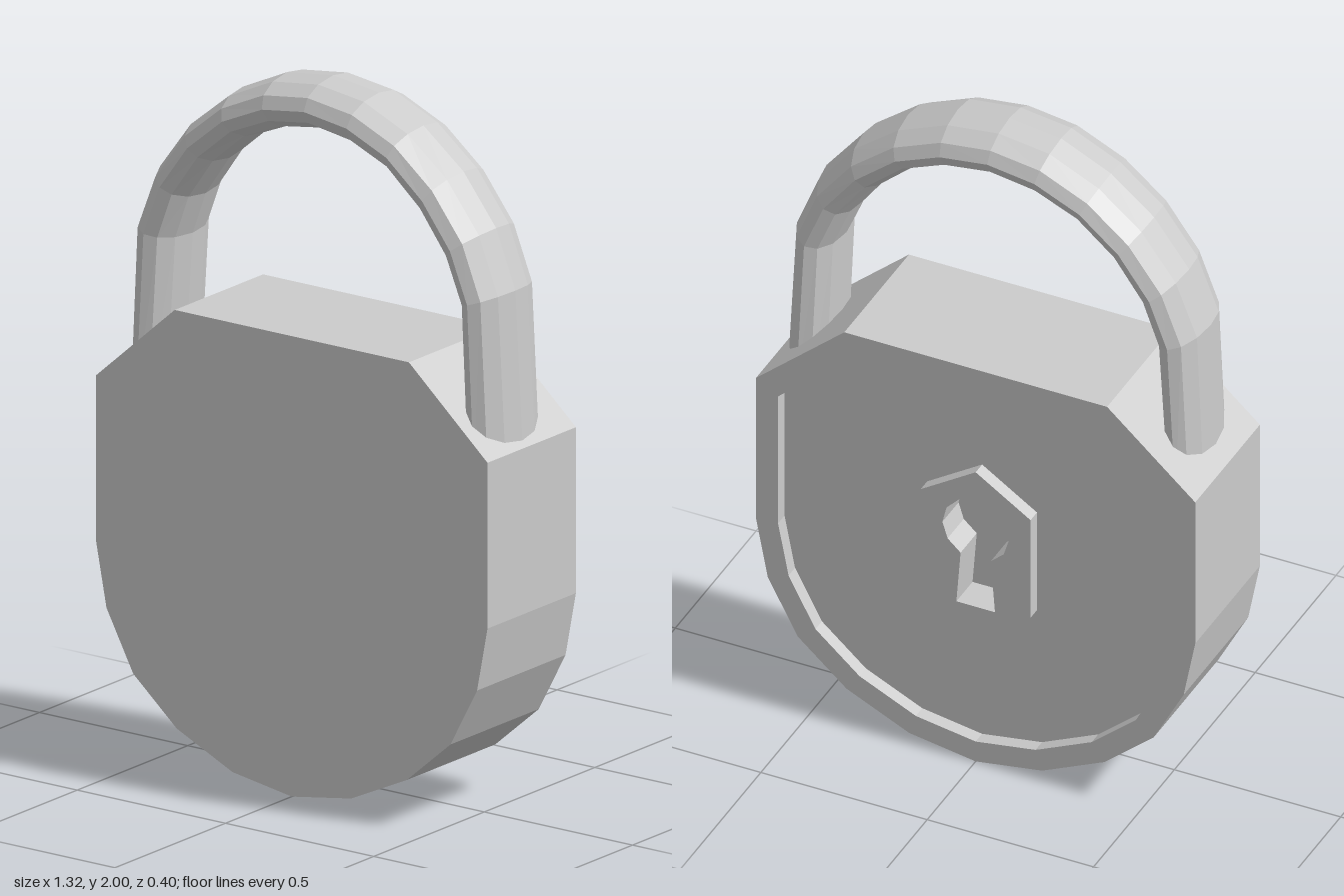
import * as THREE from 'three';
import { mergeGeometries } from 'three/addons/utils/BufferGeometryUtils.js';

const material = new THREE.MeshStandardMaterial({ color: 0xcccccc, flatShading: true });

// Depths of the layers, from front to back
const FRONT = 0.2, KEY_FLOOR = -0.1, RECESS = -0.16, BACK = -0.2;

// Completes a right-hand half outline (listed bottom to top) with its mirror image
function mirrored(half) {
  const left = half.filter(([x]) => x > 0).map(([x, y]) => [-x, y]).reverse();
  return [...half, ...left].map(([x, y]) => new THREE.Vector2(x, y));
}

function flatGeometry(positions) {
  const g = new THREE.BufferGeometry();
  g.setAttribute('position', new THREE.Float32BufferAttribute(positions, 3));
  g.computeVertexNormals();
  return g;
}

// Flat cap with optional hole; outlines are symmetric, so turning it round gives a back face
function cap(outline, z, facesBack, hole) {
  const shape = new THREE.Shape(outline);
  if (hole) shape.holes.push(new THREE.Path(hole));
  const g = new THREE.ShapeGeometry(shape).toNonIndexed();
  g.deleteAttribute('uv');
  if (facesBack) g.rotateY(Math.PI);
  return g.translate(0, 0, z);
}

// Straight wall along an outline; inward walls line a hole
function wall(outline, z0, z1, inward = false) {
  const pts = inward ? [...outline].reverse() : outline;
  const pos = [];
  pts.forEach((a, i) => {
    const b = pts[(i + 1) % pts.length];
    pos.push(a.x, a.y, z0, b.x, b.y, z0, b.x, b.y, z1);
    pos.push(a.x, a.y, z0, b.x, b.y, z1, a.x, a.y, z1);
  });
  return flatGeometry(pos);
}

function part(name, geometries) {
  const mesh = new THREE.Mesh(mergeGeometries(geometries), material);
  mesh.name = name;
  return mesh;
}

// Curved bar: elliptical 12-sided sections spanning from outer to inner edge
function shackleGeometry() {
  const outer = [[-0.62, 1.0], [-0.6, 1.5], [-0.535, 1.665], [-0.43, 1.805], [-0.3, 1.91], [-0.15, 1.98],
    [0.005, 2], [0.16, 1.98], [0.31, 1.915], [0.445, 1.81], [0.555, 1.67], [0.62, 1.505], [0.648, 1.0]];
  const inner = [[-0.5, 1.0], [-0.468, 1.465], [-0.425, 1.585], [-0.345, 1.7], [-0.24, 1.79], [-0.12, 1.84],
    [0.008, 1.86], [0.14, 1.84], [0.26, 1.79], [0.365, 1.695], [0.445, 1.585], [0.495, 1.465], [0.515, 1.0]];
  const sides = 12, zMid = 0.02, zRadius = 0.135;
  const point = (i, k) => {
    const t = (k / sides) * Math.PI * 2, s = (1 + Math.cos(t)) / 2;
    return [
      THREE.MathUtils.lerp(inner[i][0], outer[i][0], s),
      THREE.MathUtils.lerp(inner[i][1], outer[i][1], s),
      zMid + zRadius * Math.sin(t),
    ];
  };
  const pos = [];
  for (let i = 0; i < outer.length - 1; i++) {
    for (let k = 0; k < sides; k++) {
      const a = point(i, k), b = point(i, k + 1), c = point(i + 1, k + 1), d = point(i + 1, k);
      pos.push(...a, ...b, ...c, ...a, ...c, ...d);
    }
  }
  return flatGeometry(pos);
}

export function createModel() {
  const group = new THREE.Group();
  group.name = 'padlock';

  const body = mirrored([[0, 0], [0.2, 0.032], [0.388, 0.12], [0.535, 0.248], [0.625, 0.418],
    [0.66, 0.6], [0.66, 1.07], [0.395, 1.305]]);
  const recess = body.map((p) => new THREE.Vector2(p.x * 0.9, 0.66 + (p.y - 0.66) * 0.9));
  const plate = mirrored([[0, 0.42], [0.165, 0.53], [0.165, 0.855], [0, 0.963]]);

  // Keyhole: flared slot below a round opening
  const keyHalf = [[0.058, 0.515]];
  for (let i = 0; i <= 5; i++) {
    const a = THREE.MathUtils.lerp(-1.1, Math.PI / 2, i / 5);
    keyHalf.push([i === 5 ? 0 : 0.1 * Math.cos(a), 0.77 + 0.1 * Math.sin(a)]);
  }
  const keyhole = mirrored(keyHalf);

  // Solid case with a raised rim around the recessed back
  group.add(part('body', [
    cap(body, FRONT, false),
    wall(body, BACK, FRONT),
    cap(body, BACK, true, recess),
    wall(recess, BACK, RECESS, true),
    cap(recess, RECESS, true, plate),
  ]));

  // Raised six-sided plate around the keyhole
  group.add(part('keyholePlate', [
    wall(plate, BACK, RECESS),
    cap(plate, BACK, true, keyhole),
  ]));

  group.add(part('keyhole', [
    wall(keyhole, BACK, KEY_FLOOR, true),
    cap(keyhole, KEY_FLOOR, true),
  ]));

  group.add(part('shackle', [shackleGeometry()]));
  return group;
}
